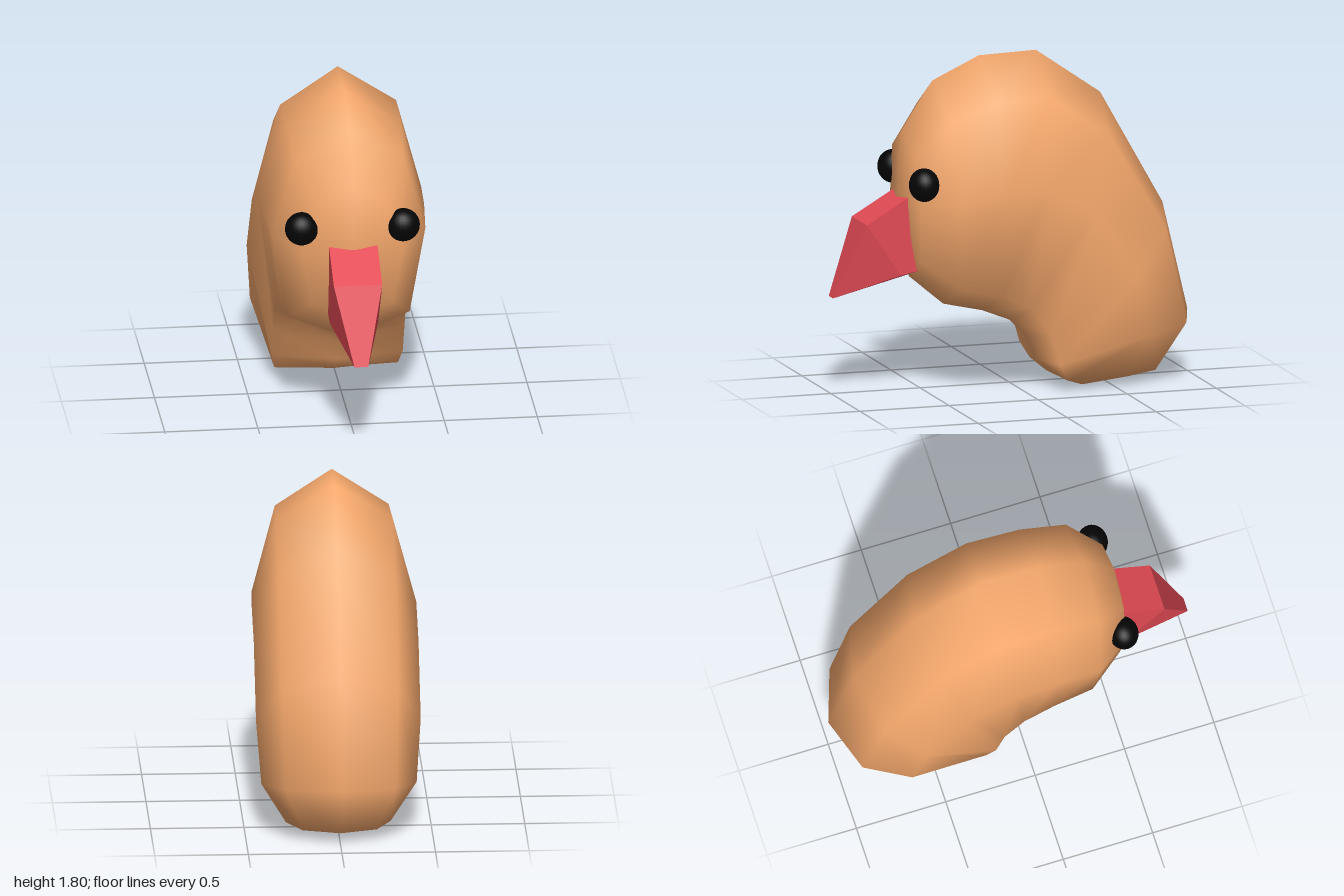
import * as THREE from 'three';
import { ConvexGeometry } from 'three/addons/geometries/ConvexGeometry.js';

const skin = new THREE.MeshStandardMaterial({ color: 0xf5a86c });
const red = new THREE.MeshStandardMaterial({ color: 0xe24a54, flatShading: true });
const black = new THREE.MeshStandardMaterial({ color: 0x050505 });

// Bean-shaped body: eight-sided rings along a curved spine, round on the
// outside of the bend and flatter on the inside.
function bodyGeometry() {
  const sides = 8;
  const rings = [ // outer z, y | inner z, y | widest z, y | half width | inner fullness
    [0.60, 1.41, 0.56, 0.61, 0.58, 1.02, 0.27, 0.72],
    [0.43, 1.67, 0.37, 0.45, 0.40, 1.07, 0.41, 0.78],
    [0.17, 1.79, 0.15, 0.40, 0.16, 1.11, 0.43, 0.80],
    [-0.15, 1.80, 0.00, 0.34, -0.08, 1.12, 0.44, 0.84],
    [-0.51, 1.55, -0.10, 0.24, -0.34, 0.98, 0.44, 0.90],
    [-0.86, 0.93, -0.15, 0.12, -0.59, 0.62, 0.44, 0.95],
    [-1.00, 0.34, -0.21, 0.05, -0.66, 0.29, 0.415, 0.97],
    [-0.83, 0.06, -0.31, 0.005, -0.58, 0.05, 0.28, 0.90],
  ];
  const positions = [];
  const index = [];
  for (const [oz, oy, iz, iy, wz, wy, w, fullness] of rings) {
    const mix = (from, to, t) => from + (to - from) * t;
    for (let j = 0; j < sides; j++) {
      const a = (j / sides) * Math.PI * 2;
      const c = Math.cos(a), s = Math.sin(a);
      if (c > -0.01) {
        positions.push(s * w, mix(wy, oy, c), mix(wz, oz, c));
      } else {
        const diagonal = j !== sides / 2;
        const t = diagonal ? fullness : 1;
        const x = diagonal ? Math.sign(s) * 0.8 * w : 0;
        positions.push(x, mix(wy, iy, t), mix(wz, iz, t));
      }
    }
  }
  const facePole = rings.length * sides;
  const basePole = facePole + 1;
  positions.push(0, 1.02, 0.635, 0, 0, -0.53);

  const last = rings.length - 1;
  for (let j = 0; j < sides; j++) {
    const k = (j + 1) % sides;
    index.push(facePole, k, j);
    for (let i = 0; i < last; i++) {
      const a = i * sides + j, b = i * sides + k;
      index.push(a, b, a + sides, b, b + sides, a + sides);
    }
    index.push(last * sides + j, last * sides + k, basePole);
  }
  const geometry = new THREE.BufferGeometry();
  geometry.setAttribute('position', new THREE.Float32BufferAttribute(positions, 3));
  geometry.setIndex(index);
  geometry.computeVertexNormals();
  return geometry;
}

// Faceted beak: mirrored profile points, narrowing to a blunt tip.
function beakGeometry() {
  const profile = [ // half width, y, z
    [0.13, 1.10, 0.55],
    [0.13, 0.93, 0.84],
    [0.037, 0.525, 1.00],
    [0.13, 0.645, 0.65],
    [0.13, 0.665, 0.55],
  ];
  return new ConvexGeometry(profile.flatMap(([x, y, z]) =>
    [new THREE.Vector3(x, y, z), new THREE.Vector3(-x, y, z)]));
}

export function createModel() {
  const model = new THREE.Group();
  const add = (name, geometry, material) => {
    const mesh = new THREE.Mesh(geometry, material);
    mesh.name = name;
    model.add(mesh);
    return mesh;
  };

  add('body', bodyGeometry(), skin);
  add('beak', beakGeometry(), red);

  // Eyes
  const eyeGeometry = new THREE.SphereGeometry(0.09, 24, 16);
  for (const [name, side] of [['leftEye', 1], ['rightEye', -1]]) {
    const eye = add(name, eyeGeometry, black);
    eye.position.set(side * 0.272, 1.16, 0.565);
    eye.scale.z = 0.9;
  }
  return model;
}
